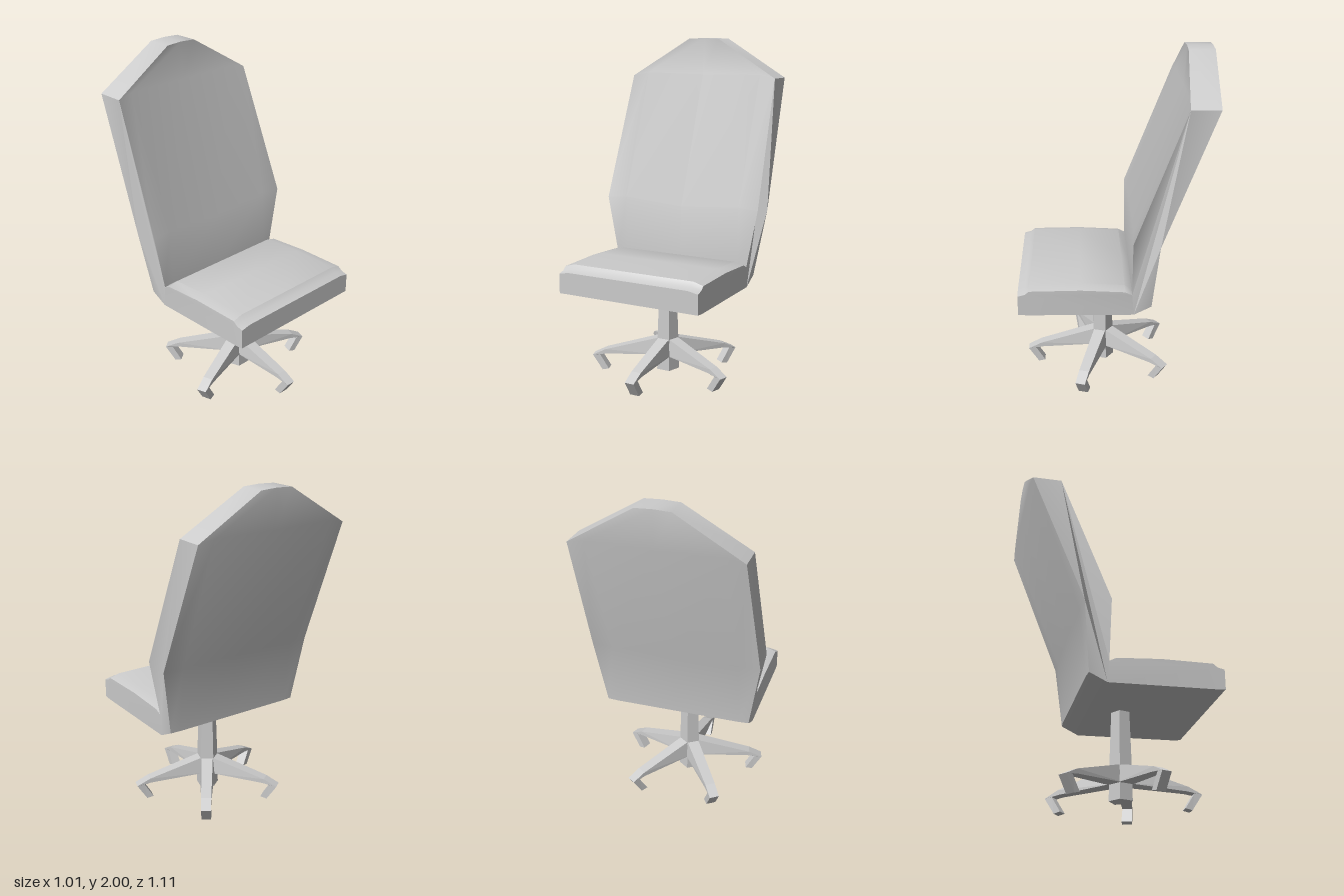
import * as THREE from 'three';
import { toCreasedNormals } from 'three/addons/utils/BufferGeometryUtils.js';

const grey = new THREE.MeshStandardMaterial({ color: 0xcccccc });
const greyFlat = new THREE.MeshStandardMaterial({ color: 0xcccccc, flatShading: true });
const AXIS_Z = 0.07; // the pedestal stands slightly ahead of centre

// Seat and backrest: one L-shaped loop of rows, each with five points across.
// Row: middle [z, y], inner [x, z, y], edge [x, z, y]
const rows = [
  [[0.51, 0.56], [0.38, 0.51, 0.56], [0.44, 0.51, 0.565]],
  [[0.555, 0.57], [0.38, 0.555, 0.57], [0.44, 0.555, 0.57]],
  [[0.555, 0.697], [0.38, 0.555, 0.697], [0.44, 0.555, 0.685]],
  [[0.515, 0.707], [0.38, 0.515, 0.707], [0.44, 0.515, 0.695]],
  [[0.49, 0.732], [0.38, 0.49, 0.732], [0.44, 0.49, 0.715]],
  [[0.2, 0.732], [0.38, 0.2, 0.732], [0.44, 0.2, 0.716]],
  [[-0.05, 0.715], [0.38, -0.05, 0.715], [0.44, -0.05, 0.7]],
  [[-0.09, 0.685], [0.38, -0.09, 0.685], [0.44, -0.09, 0.68]],
  [[-0.108, 1.0], [0.38, -0.098, 1.03], [0.505, -0.09, 1.02]],
  [[-0.397, 1.78], [0.38, -0.392, 1.785], [0.48, -0.38, 1.765]],
  [[-0.408, 2.0], [0.1, -0.406, 1.995], [0.48, -0.38, 1.765]],
  [[-0.555, 2.0], [0.1, -0.554, 1.995], [0.48, -0.543, 1.765]],
  [[-0.552, 1.78], [0.38, -0.55, 1.785], [0.48, -0.543, 1.765]],
  [[-0.25, 1.0], [0.38, -0.246, 1.0], [0.505, -0.24, 1.0]],
  [[-0.205, 0.605], [0.38, -0.205, 0.605], [0.44, -0.2, 0.605]],
  [[-0.1, 0.55], [0.38, -0.1, 0.55], [0.44, -0.1, 0.555]],
];
const TOP_ROWS = [10, 11]; // their edge points repeat the rows beneath

function seatShell() {
  const positions = [], index = [], n = rows.length;
  for (const [mid, inner, edge] of rows) {
    const at = ([x, z, y], side) => positions.push(x * side, y, z);
    at(edge, -1);
    at(inner, -1);
    at([0, ...mid], 1);
    at(inner, 1);
    at(edge, 1);
  }
  const point = i => new THREE.Vector3().fromArray(positions, i * 3);
  const tri = (a, b, c) => {
    const area = new THREE.Triangle(point(a), point(b), point(c)).getArea();
    if (area > 1e-7) index.push(a, b, c);
  };
  // upholstery all the way round
  for (let i = 0; i < n; i++) {
    const k = (i + 1) % n;
    for (let j = 0; j < 4; j++) {
      const a = i * 5 + j, b = k * 5 + j;
      tri(a, a + 1, b + 1);
      tri(a, b + 1, b);
    }
  }
  // side walls
  const ids = rows.map((_, i) => i).filter(i => !TOP_ROWS.includes(i)).reverse();
  const outline = ids.map(i => new THREE.Vector2(-rows[i][2][1], rows[i][2][2]));
  for (const t of THREE.ShapeUtils.triangulateShape(outline, [])) {
    const [a, b, c] = t.map(k => ids[k] * 5);
    tri(a + 4, b + 4, c + 4);
    tri(a, c, b);
  }
  const geometry = new THREE.BufferGeometry();
  geometry.setAttribute('position', new THREE.Float32BufferAttribute(positions, 3));
  geometry.setIndex(index);
  return toCreasedNormals(geometry, 0.6);
}

// Leg: side profile (distance out, height), narrowing outwards and upwards
function legGeometry() {
  const profile = [[0.03, 0.13], [0.37, 0.108], [0.415, 0.1], [0.36, 0.012], [0.4, 0.003],
    [0.46, 0.095], [0.38, 0.135], [0.03, 0.237]];
  const shape = new THREE.Shape(profile.map(p => new THREE.Vector2(...p)));
  const geometry = new THREE.ExtrudeGeometry(shape, { depth: 1, bevelEnabled: false });
  geometry.translate(0, 0, -0.5).rotateY(-Math.PI / 2);
  const pos = geometry.attributes.position;
  for (let i = 0; i < pos.count; i++) {
    const inward = 1 - Math.min(pos.getZ(i) / 0.4, 1);
    const width = 0.058 + inward * (pos.getY(i) > 0.2 ? 0.015 : 0.04);
    pos.setX(i, pos.getX(i) * width);
  }
  geometry.computeVertexNormals();
  return geometry;
}

export function createModel() {
  const chair = new THREE.Group();
  chair.name = 'officeChair';
  const add = (parent, name, geometry, material) => {
    const mesh = new THREE.Mesh(geometry, material);
    mesh.name = name;
    parent.add(mesh);
    return mesh;
  };

  add(chair, 'seatAndBackrest', seatShell(), grey);

  // five-sided pedestal with a leg on each face
  const base = new THREE.Group();
  base.name = 'base';
  base.position.z = AXIS_Z;
  chair.add(base);
  const prism = (rTop, rBottom, y0, y1) =>
    new THREE.CylinderGeometry(rTop, rBottom, y1 - y0, 5, 1, false, Math.PI / 5)
      .translate(0, (y0 + y1) / 2, 0);
  add(base, 'column', prism(0.054, 0.066, 0.235, 0.58), greyFlat);
  add(base, 'hub', prism(0.066, 0.07, 0.035, 0.235), greyFlat);
  const leg = legGeometry();
  for (let i = 0; i < 5; i++) {
    add(base, 'leg' + (i + 1), leg, greyFlat).rotation.y = (i * Math.PI * 2) / 5;
  }
  return chair;
}
